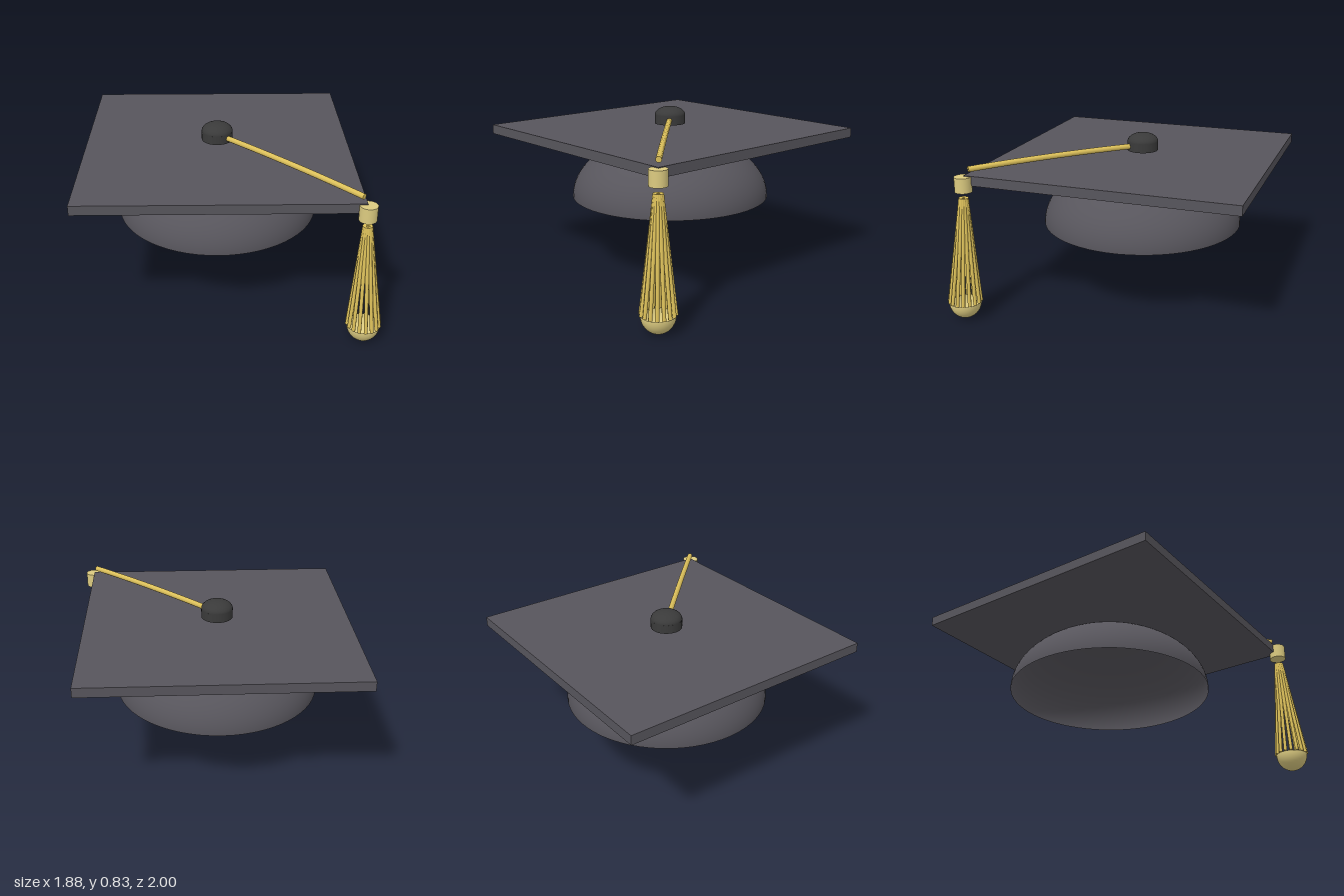
import * as THREE from 'three';

const dark = new THREE.MeshStandardMaterial({ color: 0x57555c });
const darkOpen = new THREE.MeshStandardMaterial({ color: 0x57555c, side: THREE.DoubleSide });
const black = new THREE.MeshStandardMaterial({ color: 0x3a3a3a });
const gold = new THREE.MeshStandardMaterial({ color: 0xdcc05a });
const paleGold = new THREE.MeshStandardMaterial({ color: 0xdccb80, side: THREE.DoubleSide });

function part(parent, name, geometry, material, x = 0, y = 0, z = 0) {
  const mesh = new THREE.Mesh(geometry, material);
  mesh.name = name;
  mesh.position.set(x, y, z);
  parent.add(mesh);
  return mesh;
}

export function createModel() {
  const cap = new THREE.Group();
  cap.name = 'graduationCap';
  const midZ = -0.06;

  // Square board turned to a diamond
  const side = 0.94 * Math.SQRT2;
  const board = part(cap, 'board', new THREE.BoxGeometry(side, 0.048, side), dark, 0, 0.7, midZ);
  board.rotation.y = Math.PI / 4;

  // Open skull cap, its crown just entering the board
  const dome = new THREE.SphereGeometry(0.515, 64, 24, 0, Math.PI * 2, 0, Math.PI / 2);
  dome.scale(1, 0.318 / 0.515, 1);
  part(cap, 'skullCap', dome, darkOpen, 0, 0.363, midZ);

  // Button with a flattened round top
  part(cap, 'buttonBase', new THREE.CylinderGeometry(0.079, 0.079, 0.044, 32), black, 0, 0.764, midZ);
  const top = new THREE.SphereGeometry(0.079, 32, 16);
  top.scale(1, 0.55, 1);
  part(cap, 'buttonTop', top, black, 0, 0.787, midZ);

  // Cord from the button to the front corner
  const cordPath = new THREE.QuadraticBezierCurve3(
    new THREE.Vector3(0, 0.765, midZ),
    new THREE.Vector3(0, 0.773, 0.42),
    new THREE.Vector3(0, 0.752, 0.857)
  );
  part(cap, 'cord', new THREE.TubeGeometry(cordPath, 24, 0.014, 10), gold);
  const cordEnd = part(cap, 'cordEnd', new THREE.CircleGeometry(0.014, 10), gold, 0, 0.752, 0.857);
  cordEnd.rotation.x = 0.05;

  // Tassel: knot, ring of spreading strands, rounded end
  const tassel = new THREE.Group();
  tassel.name = 'tassel';
  cap.add(tassel);
  part(tassel, 'knot', new THREE.CylinderGeometry(0.042, 0.042, 0.074, 24), paleGold, 0, 0.683, 0.885);

  const strandCount = 16;
  const up = new THREE.Vector3(0, 1, 0);
  for (let i = 0; i < strandCount; i++) {
    const a = (i / strandCount) * Math.PI * 2;
    const from = new THREE.Vector3(0.015 * Math.sin(a), 0.615, 0.888 + 0.015 * Math.cos(a));
    const to = new THREE.Vector3(0.077 * Math.sin(a), 0.085, 0.914 + 0.077 * Math.cos(a));
    const axis = from.clone().sub(to);
    const strand = part(tassel, 'strand', new THREE.CylinderGeometry(0.009, 0.009, axis.length(), 8), gold);
    strand.position.copy(from).add(to).multiplyScalar(0.5);
    strand.quaternion.setFromUnitVectors(up, axis.normalize());
  }

  const bowl = new THREE.SphereGeometry(0.079, 32, 12, 0, Math.PI * 2, Math.PI / 2, Math.PI / 2);
  bowl.scale(1, 0.084 / 0.079, 1);
  part(tassel, 'tasselEnd', bowl, paleGold, 0, 0.084, 0.914);

  return cap;
}
